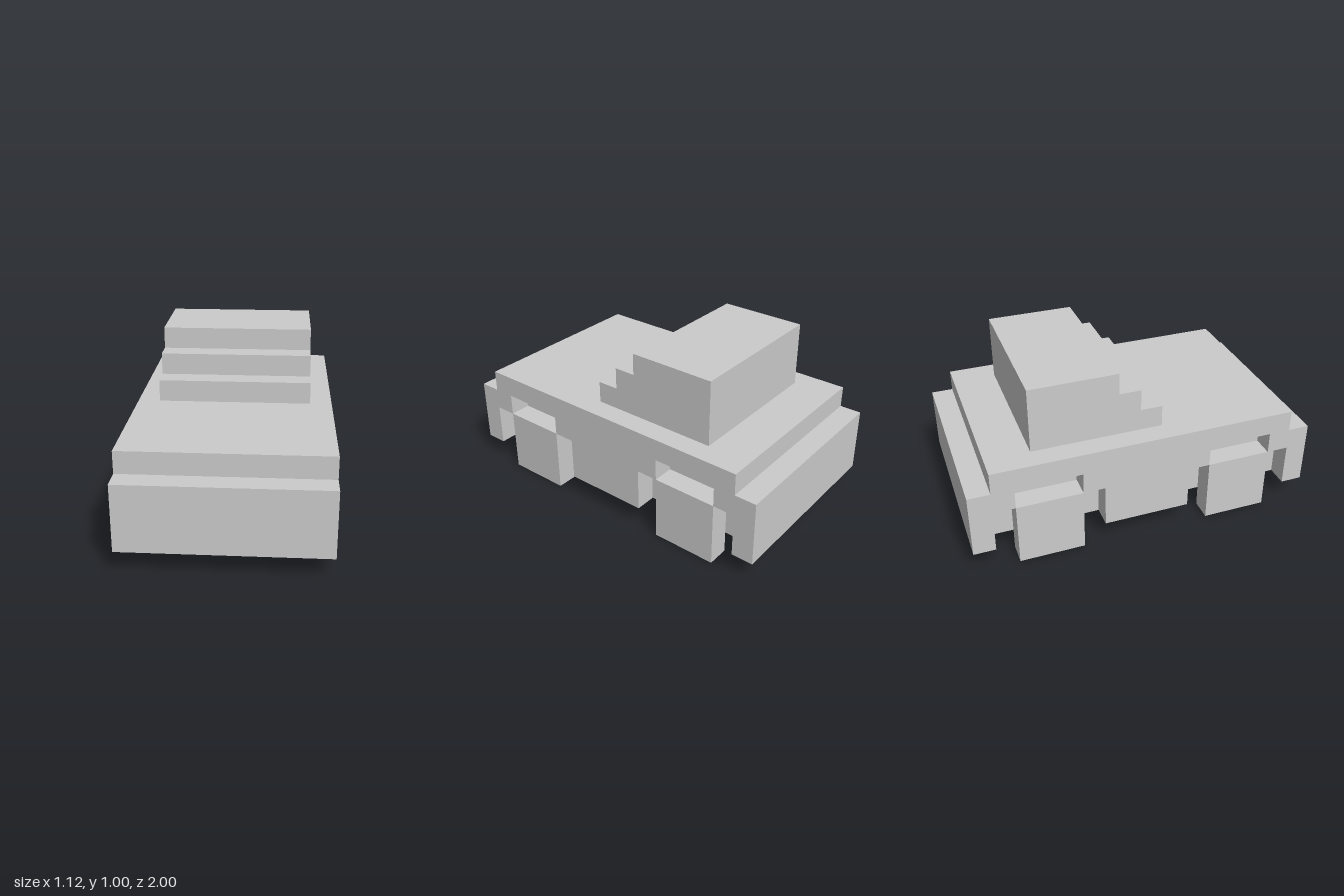
import * as THREE from 'three';

const U = 0.125; // one block

export function createModel() {
  const model = new THREE.Group();
  const material = new THREE.MeshStandardMaterial({ color: 0xcccccc, flatShading: true });

  const add = (name, geometry, x = 0, y = 0, z = 0) => {
    const mesh = new THREE.Mesh(geometry, material);
    mesh.name = name;
    mesh.position.set(x * U, y * U, z * U);
    model.add(mesh);
  };

  // Extrude a side profile of [z, y] block coordinates across x, centred on x = 0
  const slab = (profile, width) => {
    const shape = new THREE.Shape(profile.map(([z, y]) => new THREE.Vector2(z * U, y * U)));
    return new THREE.ExtrudeGeometry(shape, { depth: width * U, bevelEnabled: false })
      .translate(0, 0, -width * U / 2)
      .rotateY(-Math.PI / 2);
  };

  // Stepped upper outline shared by the body core and its side panels
  const upper = [[8, 1], [8, 4], [7, 4], [7, 5], [-7, 5], [-7, 4], [-8, 4], [-8, 1]];

  // Stepped wheel arch centred on z = c, traced from back to front
  const arch = (c) => [[-2.5, 1], [-2.5, 3], [-1.5, 3], [-1.5, 4], [1.5, 4], [1.5, 3], [2.5, 3], [2.5, 1]]
    .map(([z, y]) => [z + c, y]);

  add('bodyCore', slab(upper, 7));

  for (const [side, s] of [['left', 1], ['right', -1]]) {
    add(side + 'SidePanel', slab([...upper, ...arch(-4.5), ...arch(4.5)], 1), s * 4);
    // Block wheels with a gap around them inside the arches
    for (const [end, c] of [['Front', 4.5], ['Rear', -4.5]]) {
      add(side + end + 'Wheel', new THREE.BoxGeometry(U, 3 * U, 3 * U), s * 4, 1.5, c);
    }
  }

  // Cabin with a stepped windscreen
  add('cabin', slab([[-5, 5], [1, 5], [1, 6], [0, 6], [0, 7], [-1, 7], [-1, 8], [-5, 8]], 7));

  return model;
}
